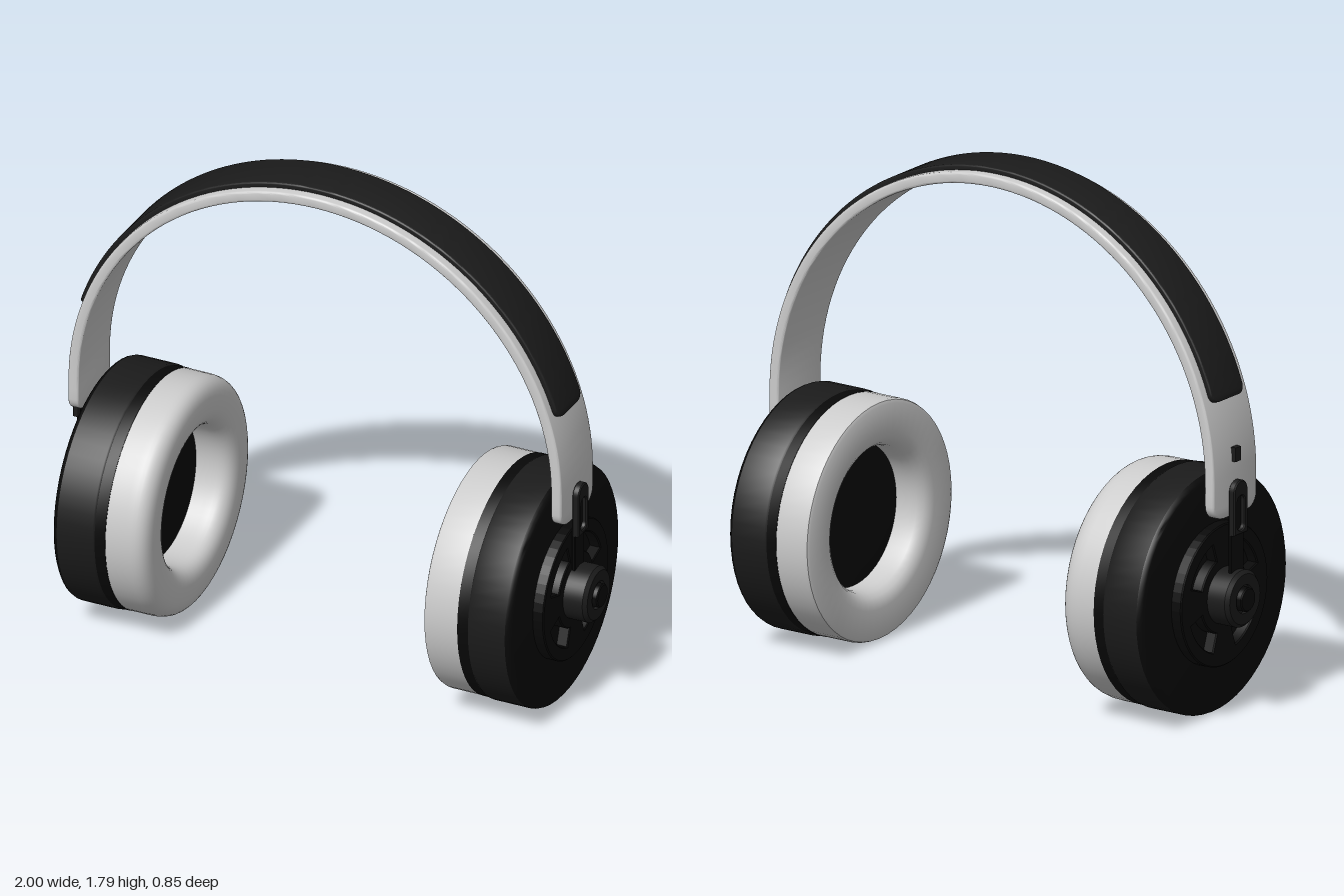
import * as THREE from 'three';
import { toCreasedNormals } from 'three/addons/utils/BufferGeometryUtils.js';

const mat = (color) => new THREE.MeshStandardMaterial({ color });
const grey = mat(0xcccccc), dark = mat(0x1b1b1b), black = mat(0x080808);

const CUP_Y = 0.428, BAND_X = -0.02, BAND_Y = 0.85, BAND_R = 0.89;
const QUARTER = BAND_R * Math.PI / 2;

function add(parent, name, geometry, material) {
  const mesh = new THREE.Mesh(geometry, material);
  mesh.name = name;
  parent.add(mesh);
  return mesh;
}

// Lathe around the x axis; profile points are [radius, x]
function turned(profile, segments = 56, crease = 0.6) {
  const pts = profile.map(([r, x]) => new THREE.Vector2(r, x));
  return toCreasedNormals(new THREE.LatheGeometry(pts, segments).rotateZ(-Math.PI / 2), crease);
}

// Flat shape in the zy plane, extruded from x0 to x1
function plateGeometry(shape, x0, x1, bevel = 0.004) {
  const g = new THREE.ExtrudeGeometry(shape, {
    depth: x1 - x0 - 2 * bevel, curveSegments: 24, bevelEnabled: true,
    bevelThickness: bevel, bevelSize: bevel, bevelOffset: -bevel, bevelSegments: 1,
  });
  return g.translate(0, 0, x0 + bevel).rotateY(Math.PI / 2);
}

// Upright outline with a round top and a round or flat bottom
function slotOutline(path, half, y0, y1, roundBottom) {
  path.moveTo(half, y1 - half);
  path.absarc(0, y1 - half, half, 0, Math.PI, false);
  if (roundBottom) path.absarc(0, y0 + half, half, Math.PI, Math.PI * 2, false);
  else path.lineTo(-half, y0).lineTo(half, y0);
  path.closePath();
  return path;
}

// Point on the headband: s = length from the crown, o = offset outward
function bandPoint(s, o, z) {
  const a = THREE.MathUtils.clamp(s, -QUARTER, QUARTER) / BAND_R;
  const drop = Math.max(0, Math.abs(s) - QUARTER);
  const r = BAND_R + o;
  return [BAND_X + Math.sin(a) * r, BAND_Y + Math.cos(a) * r - drop, z];
}

// Strip following the band, with rounded end corners and softened edges
function bandStrip(halfLength, halfWidth, o0, o1, corner, edge) {
  // Stations along the length: [s, half width]
  const list = [], inner = halfLength - corner, N = 72;
  for (let i = 0; i <= 6; i++) {
    const t = i / 6 * Math.PI / 2;
    list.push([-inner - corner * Math.cos(t), halfWidth - corner + corner * Math.sin(t)]);
  }
  const farEnd = list.map(([s, w]) => [-s, w]).reverse();
  for (let i = 1; i < N; i++) list.push([-inner + 2 * inner * i / N, halfWidth]);
  list.push(...farEnd);

  // Rounded rectangle at every station
  const pos = [], index = [], K = 16;
  const corners = [[1, 1], [-1, 1], [-1, -1], [1, -1]];
  for (const [s, w] of list) {
    corners.forEach(([sz, so], c) => {
      for (let k = 0; k < 4; k++) {
        const a = (c + k / 3) * Math.PI / 2;
        const z = sz * (w - edge) + edge * Math.cos(a);
        const o = (so > 0 ? o1 - edge : o0 + edge) + edge * Math.sin(a);
        pos.push(...bandPoint(s, o, z));
      }
    });
  }
  for (let i = 0; i < list.length - 1; i++) {
    for (let k = 0; k < K; k++) {
      const a = i * K + k, b = i * K + (k + 1) % K;
      index.push(a, a + K, b, b, a + K, b + K);
    }
  }
  const last = (list.length - 1) * K;
  for (let k = 1; k < K - 1; k++) {
    index.push(0, k, k + 1, last, last + k + 1, last + k);
  }
  const g = new THREE.BufferGeometry();
  g.setAttribute('position', new THREE.Float32BufferAttribute(pos, 3));
  g.setIndex(index);
  return toCreasedNormals(g, 0.75);
}

// Soft cushion, fully rounded on the side facing the head
function roundPad() {
  const p = [[0.42, 0.662], [0.246, 0.662]], pow = (v) => Math.sign(v) * Math.abs(v) ** 0.7;
  for (let i = 0; i <= 18; i++) {
    const t = Math.PI * (1 + i / 18);
    p.push([0.333 + 0.087 * pow(Math.cos(t)), 0.59 + 0.079 * pow(Math.sin(t))]);
  }
  return turned([...p, p[0]], 56, 0.9);
}

// Flat-faced cushion with a rounded inner lip
function flatPad() {
  return turned([[0.42, 0.545], [0.42, 0.662], [0.25, 0.662], [0.25, 0.59], [0.256, 0.565], [0.27, 0.545],
    [0.288, 0.534], [0.31, 0.53], [0.405, 0.53], [0.416, 0.535], [0.42, 0.545]], 56, 0.75);
}

// One ear cup, built with its outside toward +x
function earCup(name, padGeometry, armX) {
  const cup = new THREE.Group();
  cup.name = name;
  const body = new THREE.Group();
  body.position.y = CUP_Y;
  cup.add(body);

  add(body, 'earPad', padGeometry, grey);
  add(body, 'cupBase', turned([[0, 0.645], [0.3, 0.645], [0.41, 0.655], [0.421, 0.66], [0.421, 0.702], [0.4, 0.702]]), black);
  add(body, 'cupShell', turned([[0.4, 0.7], [0.421, 0.7], [0.425, 0.706], [0.425, 0.84]]), dark);
  add(body, 'cupFace', turned([[0.425, 0.84], [0.421, 0.85], [0.412, 0.857], [0.4, 0.86], [0, 0.86]]), black);

  // Round plate with four curved openings
  const disc = new THREE.Shape().absarc(0, 0, 0.25, 0, Math.PI * 2, false);
  for (let i = 0; i < 4; i++) {
    const mid = (i + 0.5) * Math.PI / 2, h = 0.45;
    const hole = new THREE.Path();
    hole.absarc(0, 0, 0.2, mid - h, mid + h, false);
    hole.absarc(0, 0, 0.135, mid + h, mid - h, true);
    hole.closePath();
    disc.holes.push(hole);
  }
  add(body, 'ventPlate', plateGeometry(disc, 0.85, 0.9), black);

  // Pivot hub with a centre pin
  add(body, 'hub', turned([[0, 0.88], [0.1, 0.88], [0.1, 0.972], [0.088, 0.985], [0.05, 0.985], [0.05, 0.97], [0, 0.97]], 40), dark);
  add(body, 'hubPin', turned([[0.042, 0.96], [0.042, 0.996], [0.038, 1], [0, 1]], 32), black);

  // Slider arm between the hub and the headband
  const strap = slotOutline(new THREE.Shape(), 0.036, 0.43, 0.835, false);
  add(cup, 'armStrap', plateGeometry(strap, armX, armX + 0.012, 0.002), black);
  const frame = slotOutline(new THREE.Shape(), 0.039, 0.655, 0.845, false);
  frame.holes.push(slotOutline(new THREE.Path(), 0.021, 0.668, 0.79, true));
  add(cup, 'armSlider', plateGeometry(frame, armX + 0.002, armX + 0.028), dark);
  return cup;
}

export function createModel() {
  const model = new THREE.Group();
  model.name = 'headphones';

  // Headband and its outer cover
  add(model, 'headband', bandStrip(QUARTER + 0.127, 0.125, -0.004, 0.035, 0.05, 0.008), grey);
  add(model, 'headbandCover', bandStrip(1.132, 0.09, 0.028, 0.053, 0.03, 0.006), dark);

  // Ear cups
  model.add(earCup('leftEarCup', flatPad(), 0.902));
  const right = earCup('rightEarCup', roundPad(), 0.942);
  right.rotation.y = Math.PI;
  model.add(right);

  // Small raised tab on the right end of the band
  const tab = add(model, 'sideTab', new THREE.BoxGeometry(0.022, 0.05, 0.03), dark);
  tab.position.set(BAND_X - BAND_R - 0.036, 0.935, 0);
  return model;
}
